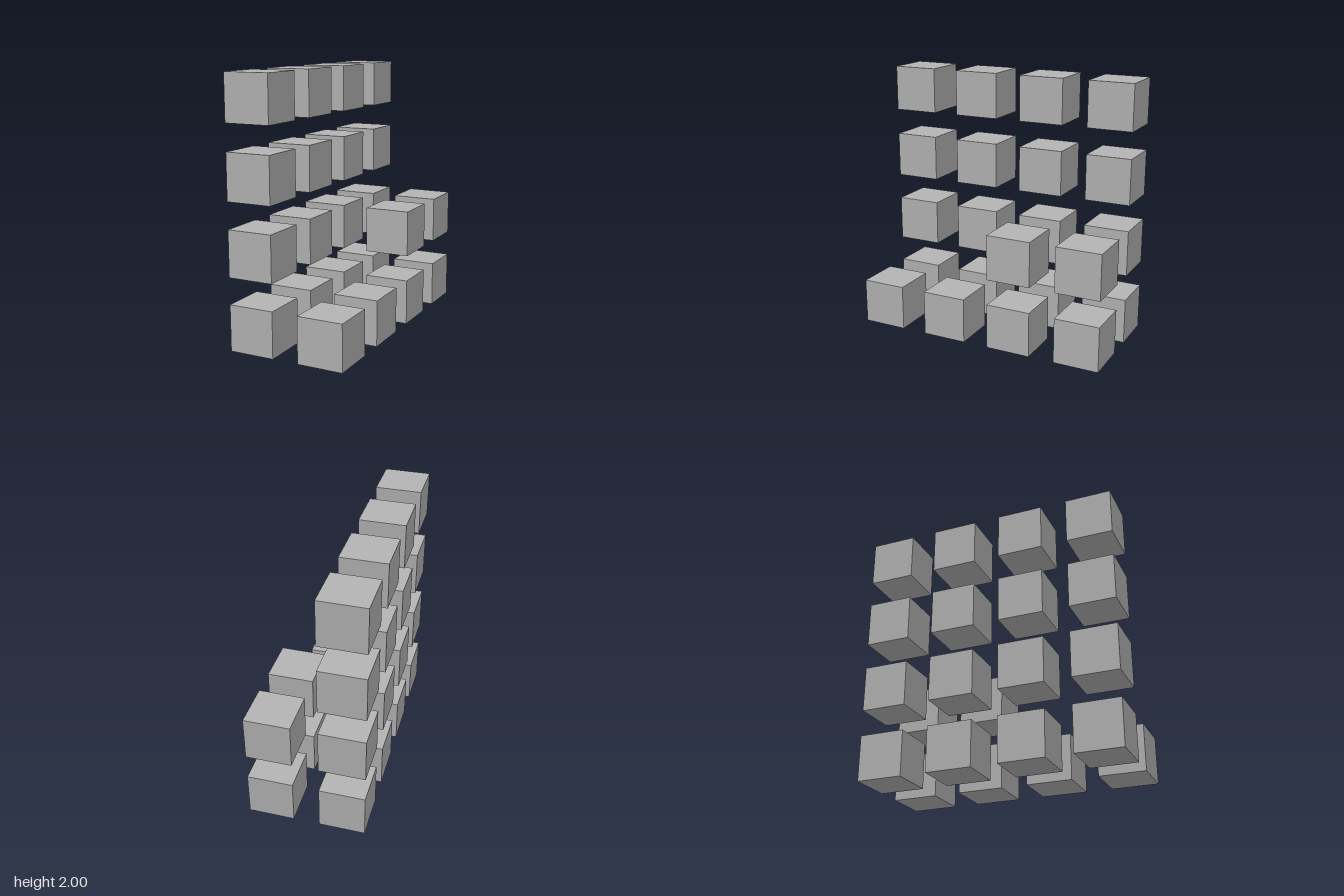
import * as THREE from 'three';

const SIZE = 0.35; // cube edge
const PITCH = 0.55; // spacing between cube centres

// Heights of the stacks in each row, listed from back to front
const ROWS = [
  { name: 'tallRow', x: -PITCH / 2, heights: [4, 4, 4, 4] },
  { name: 'lowRow', x: PITCH / 2, heights: [2, 2, 1, 1] },
];

export function createModel() {
  const model = new THREE.Group();
  model.name = 'cubeLattice';
  const grey = new THREE.MeshStandardMaterial({ color: 0xb3b3b3 });
  grey.name = 'grey';
  const cubeGeometry = new THREE.BoxGeometry(SIZE, SIZE, SIZE);

  for (const { name, x, heights } of ROWS) {
    const row = new THREE.Group();
    row.name = name;
    heights.forEach((height, column) => {
      // One stack of separated cubes
      for (let level = 0; level < height; level++) {
        const cube = new THREE.Mesh(cubeGeometry, grey);
        cube.name = 'cube';
        cube.position.set(x, SIZE / 2 + level * PITCH, (column - 1.5) * PITCH);
        row.add(cube);
      }
    });
    model.add(row);
  }
  return model;
}
